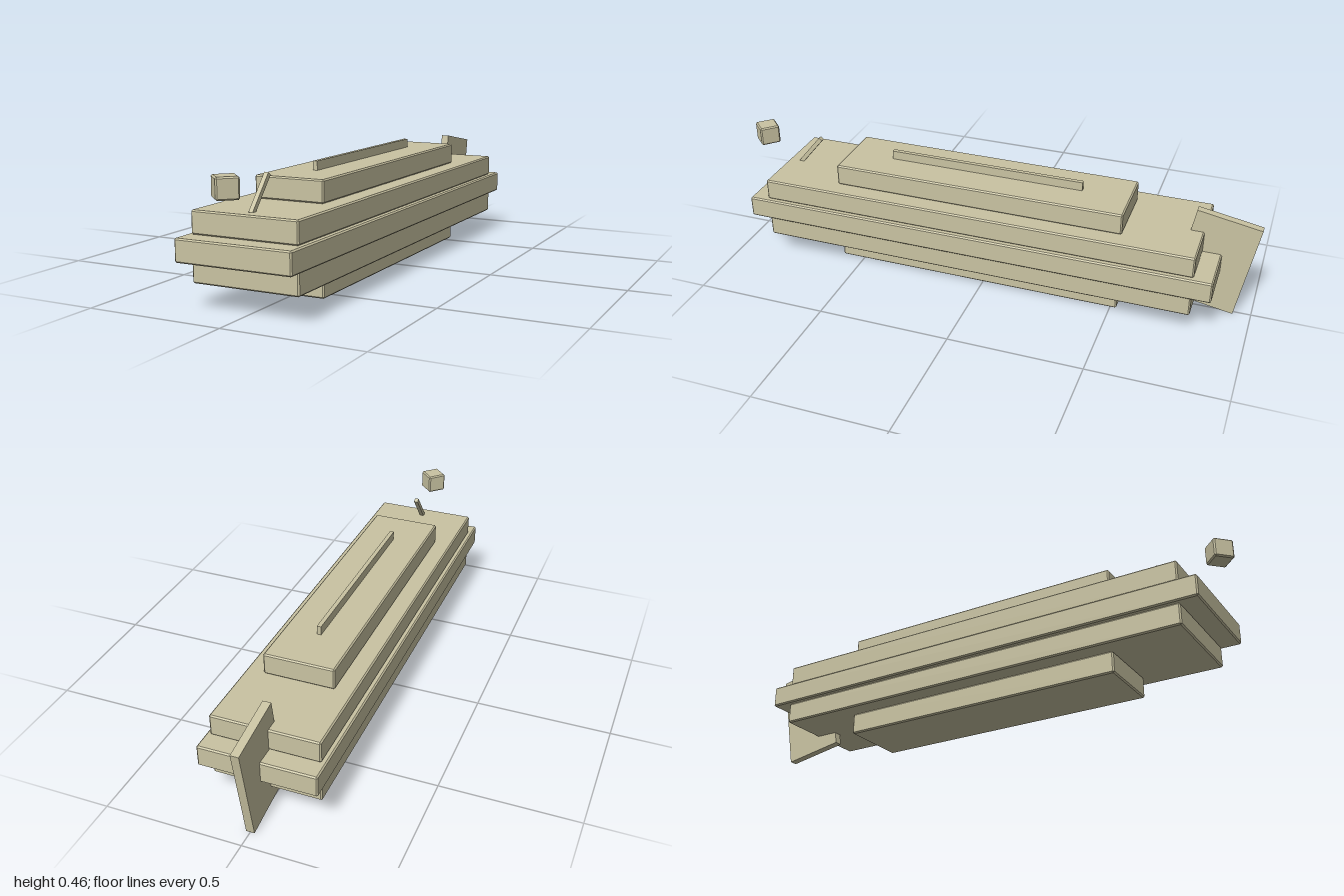
import * as THREE from 'three';
import { ConvexGeometry } from 'three/addons/geometries/ConvexGeometry.js';

// Box with small flat chamfers on every edge
function chamferedBox(w, h, d, c) {
  const points = [];
  for (const sx of [-1, 1]) for (const sy of [-1, 1]) for (const sz of [-1, 1]) {
    const half = [w / 2, h / 2, d / 2];
    for (let full = 0; full < 3; full++) {
      const p = half.map((v, i) => (i === full ? v : v - c));
      points.push(new THREE.Vector3(p[0] * sx, p[1] * sy, p[2] * sz));
    }
  }
  return new ConvexGeometry(points);
}

export function createModel() {
  const model = new THREE.Group();
  model.name = 'steppedFish';
  const khaki = new THREE.MeshStandardMaterial({ color: 0xc9c3a2 });
  khaki.name = 'khaki';

  function add(name, geometry, x, y, z, rx = 0, ry = 0) {
    const mesh = new THREE.Mesh(geometry, khaki);
    mesh.name = name;
    mesh.position.set(x, y, z);
    mesh.rotation.set(rx, ry, 0);
    model.add(mesh);
  }

  // Body: five stacked slabs, widest in the middle
  const slabs = [
    ['bellySlab', 0.262, 1.11],
    ['lowerSlab', 0.395, 1.66],
    ['middleSlab', 0.427, 1.80],
    ['upperSlab', 0.395, 1.66],
    ['backSlab', 0.262, 1.11],
  ];
  slabs.forEach(([name, width, length], i) => {
    add(name, chamferedBox(width, 0.08, length, 0.005), 0, 0.048 + i * 0.08, 0.03);
  });

  // Ridge along the back
  add('backRidge', new THREE.BoxGeometry(0.016, 0.05, 0.75), 0, 0.416, 0.03);

  // Tilted tail plate
  add('tailFin', new THREE.BoxGeometry(0.03, 0.375, 0.238), 0, 0.208, -0.85, -0.175);

  // Leaning stalk and the floating lure ahead of it
  add('stalk', new THREE.BoxGeometry(0.016, 0.15, 0.016), 0, 0.381, 0.762, -0.7);
  add('lure', chamferedBox(0.075, 0.072, 0.075, 0.005), 0, 0.428, 0.95, 0, Math.PI / 4);

  return model;
}
